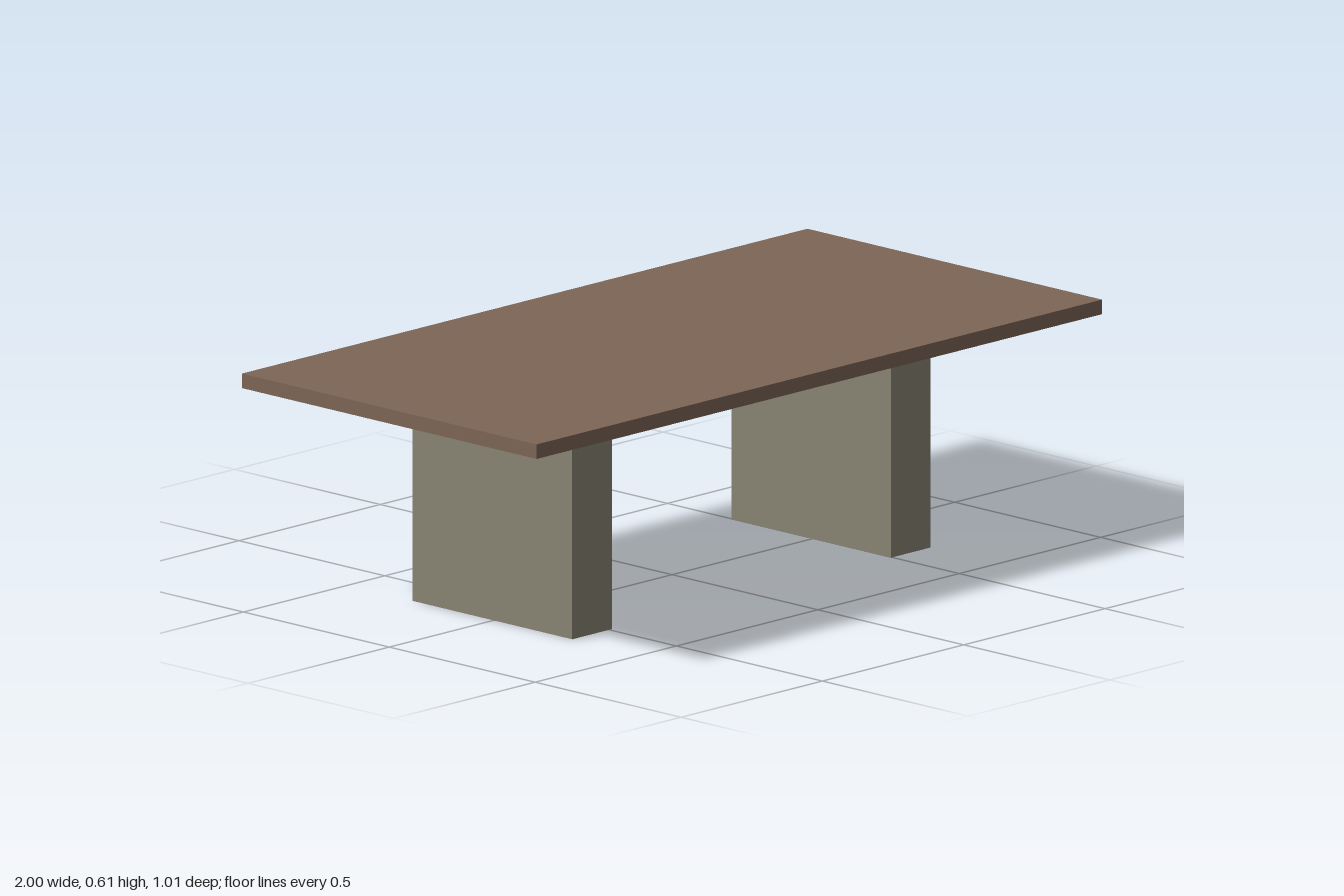
import * as THREE from 'three';

export function createModel() {
  const table = new THREE.Group();
  table.name = 'table';

  const wood = new THREE.MeshStandardMaterial({ color: 0x7d6556 });
  wood.name = 'brown wood';
  const stone = new THREE.MeshStandardMaterial({ color: 0x888474 });
  stone.name = 'grey stone';

  const addBox = (name, material, size, position) => {
    const mesh = new THREE.Mesh(new THREE.BoxGeometry(...size), material);
    mesh.name = name;
    mesh.position.set(...position);
    table.add(mesh);
  };

  // Thin rectangular top
  const legHeight = 0.568, topThickness = 0.037;
  addBox('tableTop', wood, [2, topThickness, 1.01], [0, legHeight + topThickness / 2, 0]);

  // Two slab legs, set a touch off centre
  for (const [name, x] of [['rightLeg', -0.561], ['leftLeg', 0.566]]) {
    addBox(name, stone, [0.14, legHeight, 0.547], [x, legHeight / 2, -0.004]);
  }

  return table;
}
